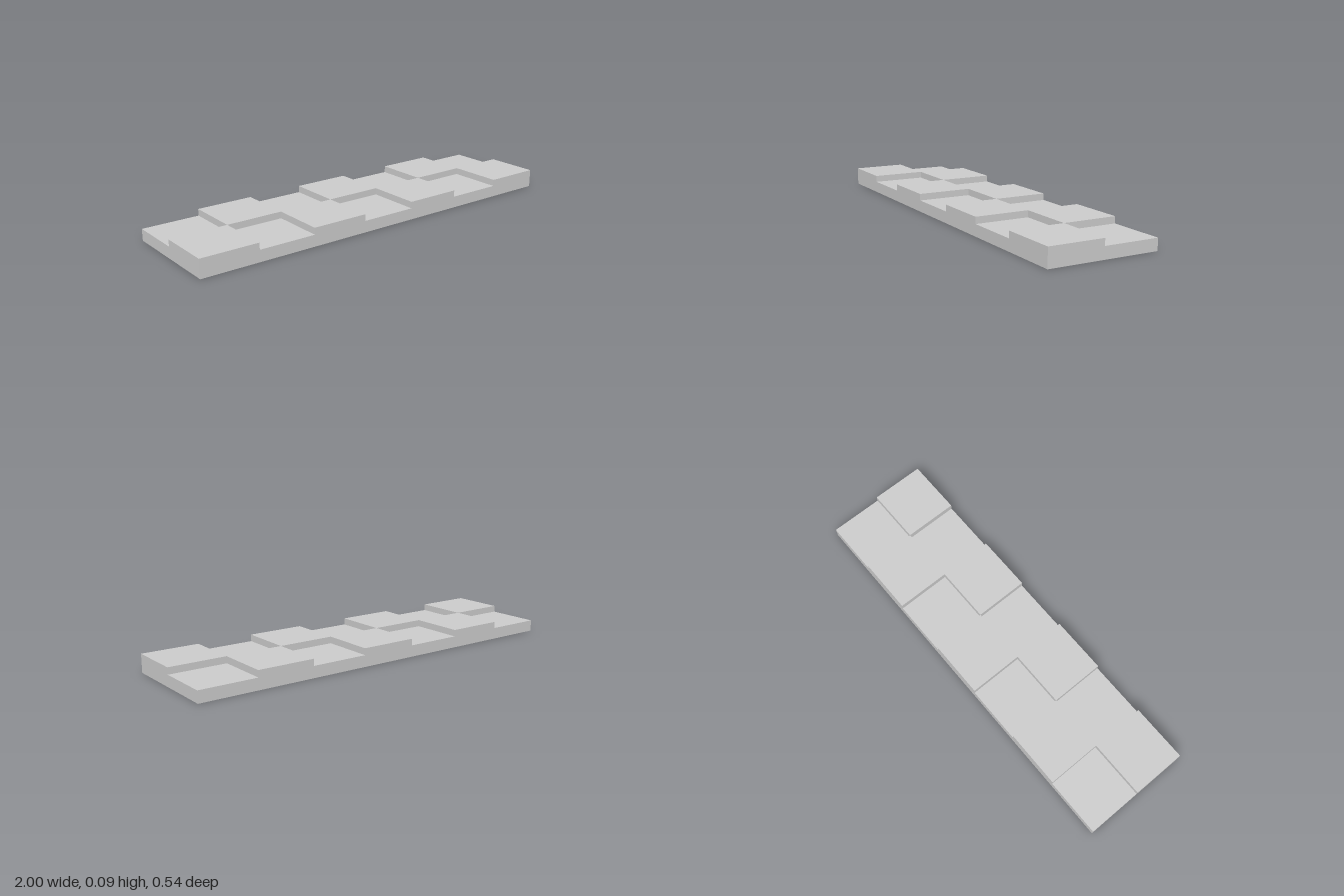
import * as THREE from 'three';

const COLUMNS = 7;
const LENGTH = 2;
const ROW_DEPTH = 0.27;
const LOW = 0.057;
const HIGH = 0.09;

// One row of the board: a stepped side profile extruded along z
function makeRow(name, firstRaised, z, material) {
  const step = LENGTH / COLUMNS;
  const profile = new THREE.Shape();
  profile.moveTo(-LENGTH / 2, 0);
  profile.lineTo(LENGTH / 2, 0);
  for (let i = COLUMNS - 1; i >= 0; i--) {
    const y = i % 2 === firstRaised ? HIGH : LOW;
    const x = -LENGTH / 2 + i * step;
    profile.lineTo(x + step, y);
    profile.lineTo(x, y);
  }
  profile.closePath();
  const geometry = new THREE.ExtrudeGeometry(profile, { depth: ROW_DEPTH, bevelEnabled: false });
  const row = new THREE.Mesh(geometry, material);
  row.name = name;
  row.position.z = z;
  return row;
}

export function createModel() {
  const material = new THREE.MeshStandardMaterial({ color: 0xcccccc, flatShading: true });
  const board = new THREE.Group();
  board.name = 'checkeredBoard';
  // Raised squares alternate between the two rows
  board.add(makeRow('frontRow', 0, 0, material));
  board.add(makeRow('backRow', 1, -ROW_DEPTH, material));
  return board;
}
